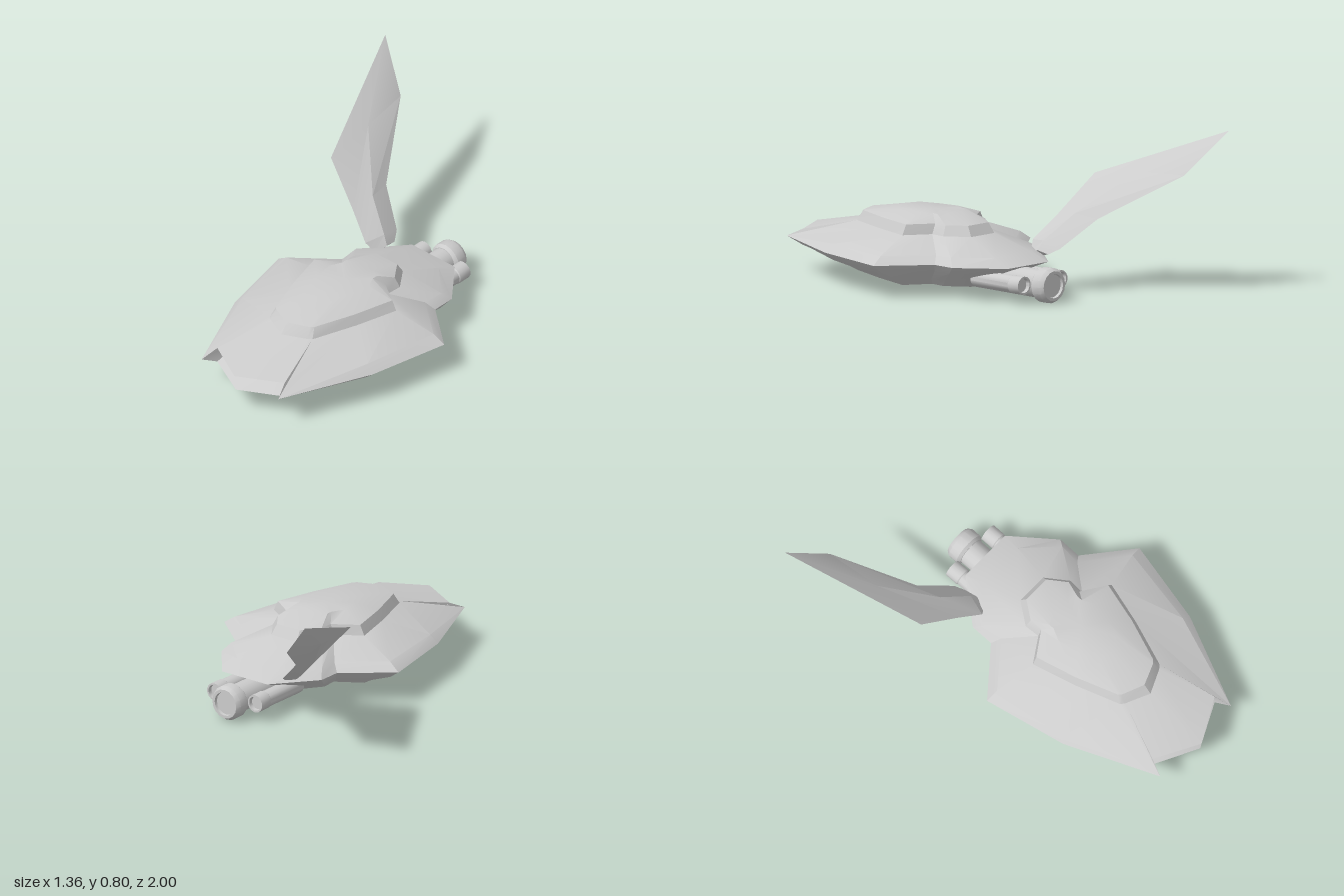
import * as THREE from 'three';
import { toCreasedNormals } from 'three/addons/utils/BufferGeometryUtils.js';

const material = new THREE.MeshStandardMaterial({ color: 0xcccccc, side: THREE.DoubleSide });

// Joins closed rings of [x, y, z] points into a creased skin, skipping collapsed faces.
function loft(rings, crease = 0.45) {
  const pos = [];
  const tri = (...p) => {
    const [a, b, c] = p.map((q) => new THREE.Vector3(...q));
    if (b.clone().sub(a).cross(c.clone().sub(a)).length() > 1e-6) {
      for (const v of [a, b, c]) pos.push(v.x, v.y, v.z);
    }
  };
  for (let r = 0; r < rings.length - 1; r++) {
    const a = rings[r], b = rings[r + 1], n = a.length;
    for (let i = 0; i < n; i++) {
      const j = (i + 1) % n;
      tri(a[i], a[j], b[j]);
      tri(a[i], b[j], b[i]);
    }
  }
  const g = new THREE.BufferGeometry();
  g.setAttribute('position', new THREE.Float32BufferAttribute(pos, 3));
  return toCreasedNormals(g, crease);
}

// Half outline, nose to tail, mirrored into a closed ring; a point may carry its own height.
function ring(y, half) {
  const right = half.map(([x, z, h = y]) => [x, h, z]);
  const left = right.slice(1).reverse().map(([x, h, z]) => [-x, h, z]);
  return [...right, ...left];
}
const capPoint = (y, z) => ring(y, Array(8).fill([0, z]));

function add(group, name, geometry) {
  const mesh = new THREE.Mesh(geometry, material);
  mesh.name = name;
  group.add(mesh);
  return mesh;
}

// Lathe profile of [radius, z] laid along the z axis.
function barrel(points, sides) {
  const g = new THREE.LatheGeometry(points.map(([r, z]) => new THREE.Vector2(r, z)), sides);
  g.rotateX(Math.PI / 2);
  return toCreasedNormals(g.toNonIndexed(), 0.6);
}

export function createModel() {
  const model = new THREE.Group();
  model.name = 'craft';

  const body = new THREE.Group();
  body.name = 'body';
  body.position.x = 0.14;
  model.add(body);

  const deck = [[0, 0.66], [0.12, 0.605], [0.14, 0.59], [0.22, 0.36], [0.28, 0.14],
    [0.155, 0.06], [0.16, -0.02], [0.08, -0.13]];
  const prong = [0.25, 0.96, 0.17];

  // Hull: flat belly, flared rim, sloping deck; the rim folds inward at the nose to form the mouth
  add(body, 'hull', loft([
    capPoint(0.035, 0.2),
    ring(0.035, deck),
    ring(0.07, [[0, 0.72], [0.17, 0.65], [0.19, 0.63], [0.28, 0.4], [0.34, 0.12],
      [0.2, 0.02], [0.2, -0.07], [0.1, -0.2]]),
    ring(0.13, [[0, 0.99, 0.125], [0.22, 0.88], prong, [0.405, 0.49], [0.48, 0.09],
      [0.27, -0.07], [0.28, -0.18], [0.12, -0.34]]),
    ring(0.17, [[0, 0.9], [0.2, 0.8], prong, [0.45, 0.5], [0.54, 0.08],
      [0.31, -0.11], [0.31, -0.23], [0.14, -0.44]]),
    ring(0.21, [[0, 1], [0.22, 0.88], prong, [0.41, 0.49], [0.48, 0.09],
      [0.27, -0.08], [0.28, -0.19], [0.125, -0.34]]),
    ring(0.28, deck),
  ]));

  // Canopy: steep lower wall and shallow faceted roof
  add(body, 'canopy', loft([
    ring(0.28, deck),
    ring(0.33, [[0, 0.62], [0.11, 0.575], [0.125, 0.56], [0.2, 0.35], [0.255, 0.14],
      [0.135, 0.06], [0.135, -0.01], [0.07, -0.1]]),
    ring(0.37, [[0, 0.4], [0.07, 0.38], [0.08, 0.37], [0.11, 0.28], [0.13, 0.17],
      [0.1, 0.11], [0.1, 0.08], [0.05, 0.06]]),
    capPoint(0.37, 0.2),
  ]));

  // Wing: diamond sections between leading and trailing edges [leading, trailing, half thickness]
  const stations = [
    [[-0.07, 0.19, -0.25], [-0.06, 0.19, -0.38], 0.02],
    [[-0.11, 0.24, -0.225], [-0.09, 0.22, -0.43], 0.028],
    [[-0.23, 0.35, -0.27], [-0.25, 0.36, -0.53], 0.028],
    [[-0.43, 0.54, -0.33], [-0.48, 0.59, -0.89], 0.022],
    [[-0.68, 0.8, -1], [-0.68, 0.8, -1], 0],
  ];
  const sections = stations.map(([lead, trail, t]) => {
    const mid = lead.map((v, i) => (v + trail[i]) / 2);
    const d = t * Math.SQRT1_2;
    return [lead, [mid[0] + d, mid[1] + d, mid[2]], trail, [mid[0] - d, mid[1] - d, mid[2]]];
  });
  const rootPoint = Array(4).fill([-0.065, 0.19, -0.315]);
  add(model, 'wing', loft([rootPoint, ...sections], 0.3));

  // Engine: central barrel with a bevelled nozzle, and a smaller thruster each side
  const engine = new THREE.Group();
  engine.name = 'engine';
  engine.position.set(0.13, 0.088, 0);
  model.add(engine);
  add(engine, 'engineBarrel', barrel([[0, -0.54], [0.07, -0.54], [0.07, -0.09], [0, -0.09]], 16));
  add(engine, 'nozzle', barrel([[0, -0.595], [0.058, -0.595], [0.06, -0.61], [0.074, -0.61],
    [0.087, -0.59], [0.087, -0.54], [0.074, -0.525], [0, -0.525]], 16));
  for (const side of [-1, 1]) {
    const thruster = add(engine, side > 0 ? 'leftThruster' : 'rightThruster',
      barrel([[0, -0.51], [0.034, -0.51], [0.036, -0.53], [0.045, -0.53],
        [0.045, -0.46], [0.041, -0.455], [0.041, -0.2], [0, -0.2]], 14));
    thruster.position.set(side * 0.126, 0.008, 0);
  }

  return model;
}
